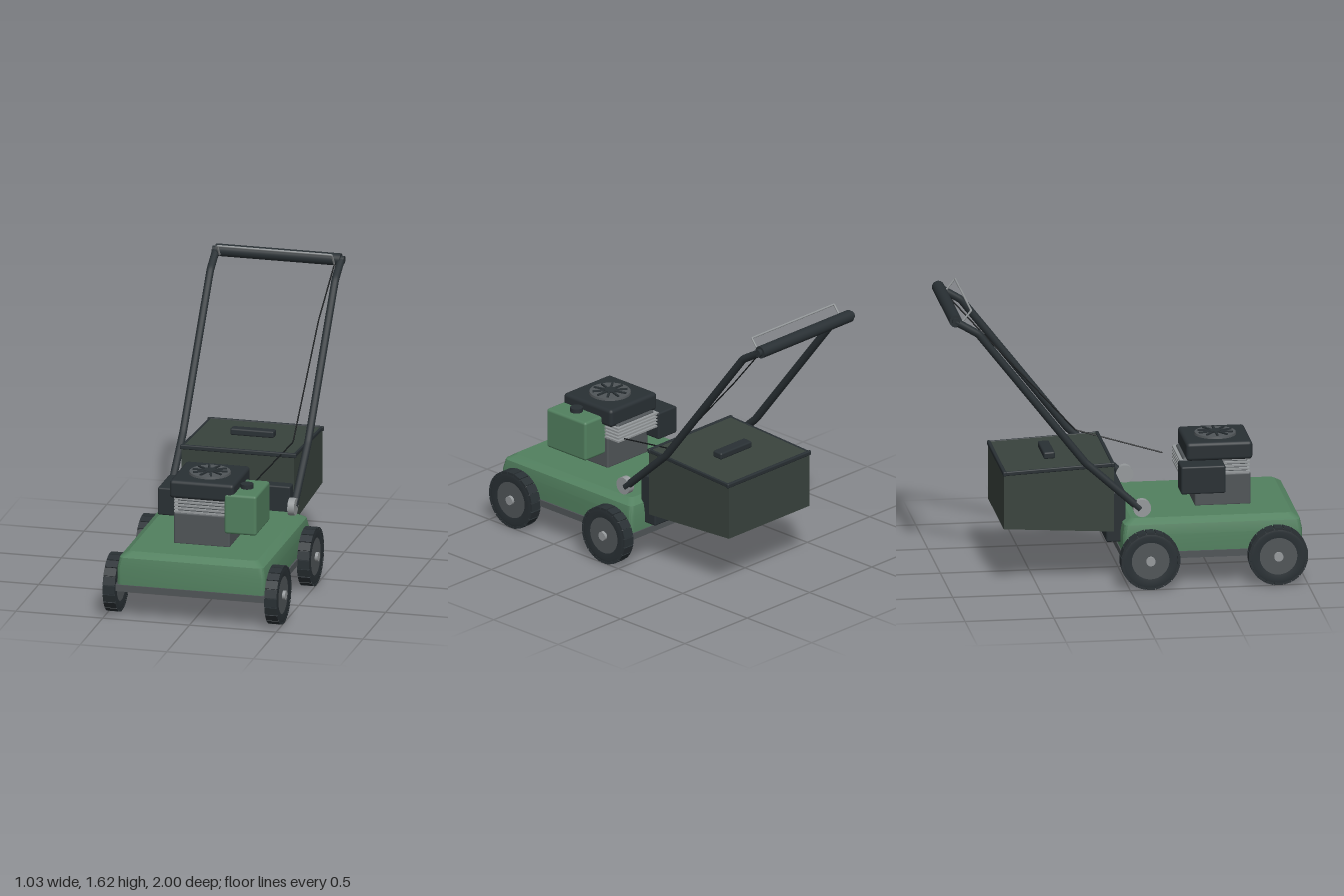
import * as THREE from 'three';
import { toCreasedNormals } from 'three/addons/utils/BufferGeometryUtils.js';
import { RoundedBoxGeometry } from 'three/addons/geometries/RoundedBoxGeometry.js';

const mat = (color) => new THREE.MeshStandardMaterial({ color });
const GREEN = mat(0x52805f), DARK = mat(0x293034), GREY = mat(0x505558);
const LIGHT = mat(0x95999b), BAG = mat(0x39433d), BLACK = mat(0x16191b);
const V = (x, y, z) => new THREE.Vector3(x, y, z);

function add(parent, name, geo, material, x = 0, y = 0, z = 0) {
  const m = new THREE.Mesh(geo, material);
  m.name = name;
  m.position.set(x, y, z);
  parent.add(m);
  return m;
}

// Rounded box given by its limits on each axis
function block(parent, name, material, [x0, x1], [y0, y1], [z0, z1], r = 0.01) {
  return add(parent, name, new RoundedBoxGeometry(x1 - x0, y1 - y0, z1 - z0, 2, r), material,
    (x0 + x1) / 2, (y0 + y1) / 2, (z0 + z1) / 2);
}

// Cylinder lying along x
const rod = (r, len, seg = 20) => new THREE.CylinderGeometry(r, r, len, seg).rotateZ(Math.PI / 2);

// Path with straight runs and softened corners
function bentTube(points, radius, sides, bend) {
  const path = new THREE.CurvePath();
  let last = points[0];
  for (let i = 1; i < points.length - 1; i++) {
    const p = points[i];
    const a = p.clone().add(points[i - 1].clone().sub(p).setLength(bend));
    const b = p.clone().add(points[i + 1].clone().sub(p).setLength(bend));
    path.add(new THREE.LineCurve3(last, a));
    path.add(new THREE.QuadraticBezierCurve3(a, p, b));
    last = b;
  }
  path.add(new THREE.LineCurve3(last, points[points.length - 1]));
  return new THREE.TubeGeometry(path, 128, radius, sides);
}

// Closed shell through rounded-rectangle rings [y, halfWidth, halfDepth, cornerRadius]
function shell(rings) {
  const pos = [], idx = [], n = 20;
  for (const [y, w, d, r] of rings) {
    for (let c = 0; c < 4; c++) {
      const sx = c === 0 || c === 3 ? 1 : -1, sz = c < 2 ? 1 : -1;
      for (let k = 0; k < 5; k++) {
        const a = (c + k / 4) * Math.PI / 2;
        pos.push(sx * (w - r) + r * Math.cos(a), y, sz * (d - r) + r * Math.sin(a));
      }
    }
  }
  for (let i = 0; i < rings.length - 1; i++) {
    for (let j = 0; j < n; j++) {
      const a = i * n + j, b = i * n + (j + 1) % n;
      idx.push(a, a + n, b, b, a + n, b + n);
    }
  }
  const bottom = pos.length / 3, top = bottom + 1, t = (rings.length - 1) * n;
  pos.push(0, rings[0][0], 0, 0, rings[rings.length - 1][0], 0);
  for (let j = 0; j < n; j++) {
    const k = (j + 1) % n;
    idx.push(bottom, j, k, top, t + k, t + j);
  }
  const g = new THREE.BufferGeometry();
  g.setAttribute('position', new THREE.Float32BufferAttribute(pos, 3));
  g.setIndex(idx);
  return toCreasedNormals(g, 0.3);
}

function wheel(side, z) {
  const g = new THREE.Group();
  g.name = 'wheel';
  // Tyre cross-section turned around the axle
  const profile = [[0.1, -0.03], [0.14, -0.036], [0.155, -0.033], [0.162, -0.024],
    [0.162, 0.024], [0.155, 0.033], [0.14, 0.036], [0.1, 0.03]].map(p => new THREE.Vector2(...p));
  add(g, 'tyre', toCreasedNormals(new THREE.LatheGeometry(profile, 40).rotateZ(-Math.PI / 2), 0.5), DARK);
  for (let i = 0; i < 20; i++) {
    const a = i / 20 * Math.PI * 2;
    const lug = add(g, 'treadLug', new THREE.BoxGeometry(0.07, 0.014, 0.046), DARK,
      0, Math.cos(a) * 0.159, Math.sin(a) * 0.159);
    lug.rotation.x = a;
  }
  add(g, 'rim', rod(0.106, 0.062, 32), GREY);
  add(g, 'hubCap', rod(0.026, 0.1), LIGHT, side * -0.002);
  g.position.set(side * 0.466, 0.168, z);
  return g;
}

export function createModel() {
  const model = new THREE.Group();
  model.name = 'lawnMower';

  // Deck and the skirt frame around its underside
  add(model, 'deck', shell([[0.178, 0.42, 0.498, 0.03], [0.2, 0.427, 0.505, 0.03], [0.3, 0.427, 0.505, 0.03],
    [0.355, 0.415, 0.495, 0.03], [0.385, 0.37, 0.452, 0.03]]), GREEN, 0, 0, 0.475);
  const rect = (T, w, d) => new T([[-w, -d], [w, -d], [w, d], [-w, d]].map(p => new THREE.Vector2(...p)));
  const skirt = rect(THREE.Shape, 0.436, 0.511);
  skirt.holes.push(rect(THREE.Path, 0.388, 0.463));
  add(model, 'deckSkirt', new THREE.ExtrudeGeometry(skirt, { depth: 0.038, bevelEnabled: false })
    .rotateX(-Math.PI / 2), GREY, 0, 0.162, 0.475);

  for (const side of [-1, 1]) for (const z of [0.115, 0.835]) model.add(wheel(side, z));

  // Engine
  const engine = new THREE.Group();
  engine.name = 'engine';
  model.add(engine);
  block(engine, 'crankcase', GREY, [-0.163, 0.16], [0.38, 0.565], [0.41, 0.725]);
  block(engine, 'cylinderCore', GREY, [-0.145, 0.145], [0.55, 0.66], [0.345, 0.71]);
  for (let i = 0; i < 5; i++) {
    add(engine, 'coolingFin', new THREE.BoxGeometry(0.325, 0.01, 0.395), LIGHT, 0, 0.568 + i * 0.019, 0.523);
  }
  block(engine, 'muffler', DARK, [-0.298, -0.15], [0.488, 0.648], [0.315, 0.565]);
  block(engine, 'topCover', DARK, [-0.188, 0.185], [0.647, 0.752], [0.36, 0.733], 0.02);
  block(engine, 'fuelTank', GREEN, [0.13, 0.316], [0.465, 0.697], [0.433, 0.737], 0.015);
  add(engine, 'fuelCap', new THREE.CylinderGeometry(0.036, 0.036, 0.03, 20), DARK, 0.225, 0.707, 0.59);

  // Starter grille on the cover
  add(engine, 'grilleDisc', new THREE.CylinderGeometry(0.115, 0.118, 0.014, 36), GREY, 0, 0.757, 0.547);
  add(engine, 'grilleHub', new THREE.CylinderGeometry(0.034, 0.034, 0.014, 20), DARK, 0, 0.767, 0.547);
  for (let i = 0; i < 10; i++) {
    const a = i / 10 * Math.PI * 2;
    const spoke = add(engine, 'grilleSpoke', new THREE.BoxGeometry(0.07, 0.012, 0.012), DARK,
      Math.cos(a) * 0.064, 0.766, 0.547 + Math.sin(a) * 0.064);
    spoke.rotation.y = -a;
  }

  // Rear chute
  block(model, 'rearChute', DARK, [-0.318, 0.318], [0.235, 0.525], [-0.11, 0]);

  // Grass catcher: box sheared to its sloping top and bottom
  const bag = new THREE.BoxGeometry(0.648, 1, 1);
  const p = bag.attributes.position;
  for (let i = 0; i < p.count; i++) {
    const up = p.getY(i) > 0, front = p.getZ(i) > 0;
    p.setY(i, up ? (front ? 0.68 : 0.645) : (front ? 0.298 : 0.335));
    p.setZ(i, front ? -0.067 : -0.688);
  }
  bag.computeVertexNormals();
  add(model, 'grassCatcher', bag, BAG);

  // Catcher lid with rim bars and grip
  const lid = new THREE.Group();
  lid.name = 'catcherLid';
  lid.position.set(0, 0.672, -0.378);
  lid.rotation.x = -0.05;
  model.add(lid);
  block(lid, 'lidPanel', BAG, [-0.324, 0.324], [-0.012, 0.006], [-0.312, 0.312], 0.006);
  for (const s of [-1, 1]) {
    block(lid, 'lidSideRim', DARK, [s * 0.322 - 0.007, s * 0.322 + 0.007], [-0.014, 0.01], [-0.312, 0.312], 0.006);
    block(lid, 'lidEndRim', DARK, [-0.335, 0.335], [-0.015, 0.012], [s * 0.305 - 0.01, s * 0.305 + 0.01], 0.007);
  }
  block(lid, 'lidGrip', DARK, [-0.125, 0.125], [0.004, 0.044], [-0.056, 0.008]);

  // Push handle, mirrored tubes with pivots
  for (const s of [-1, 1]) {
    const x = s * 0.36;
    add(model, 'handleTube', bentTube([V(x, 0.435, 0.075), V(x, 0.715, -0.235),
      V(x, 1.482, -0.835), V(x, 1.56, -0.965)], 0.022, 12, 0.015), DARK);
    add(model, 'handlePivot', rod(0.05, 0.038, 28), LIGHT, s * 0.356, 0.44, 0.085);
    add(model, 'handleEnd', rod(0.022, 0.05), DARK, s * 0.355, 1.56, -0.963);
  }
  add(model, 'handleGrip', rod(0.035, 0.72, 24), DARK, 0, 1.56, -0.963);

  // Safety bail and control cable
  add(model, 'safetyBail', bentTube([V(-0.33, 1.545, -0.925), V(-0.33, 1.612, -0.872),
    V(0.33, 1.612, -0.872), V(0.33, 1.545, -0.925)], 0.006, 8, 0.005), LIGHT);
  add(model, 'controlCable', bentTube([V(0.165, 0.605, 0.275), V(0.283, 0.722, -0.2),
    V(0.298, 1.28, -0.705), V(0.33, 1.545, -0.94)], 0.004, 6, 0.015), BLACK);

  return model;
}
